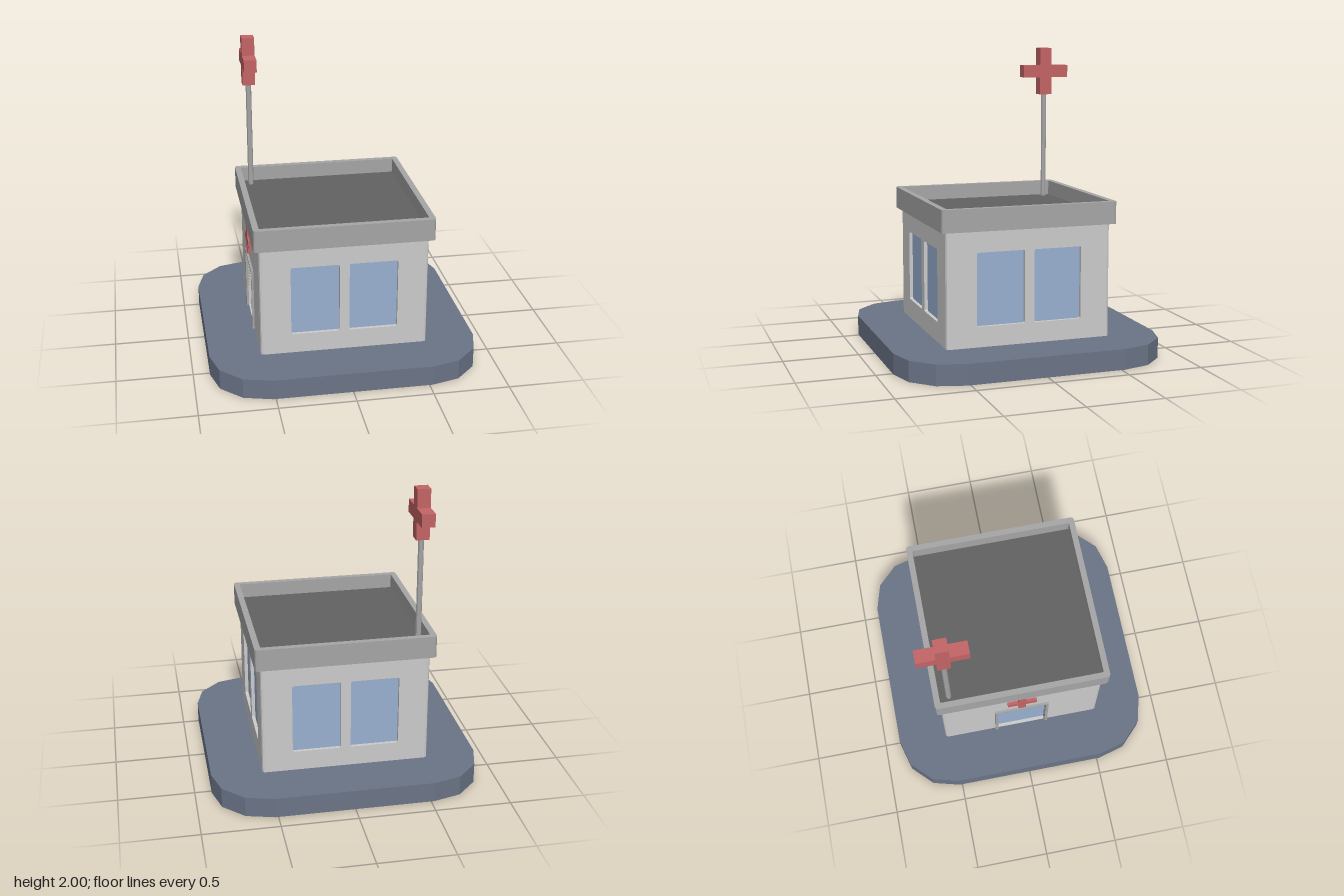
import * as THREE from 'three';

const paint = (color) => new THREE.MeshStandardMaterial({ color, flatShading: true });
const WALL = paint(0xcccccc), TRIM = paint(0xa6a6a6), ROOF = paint(0x626262);
const BASE = paint(0x6b7487), GLASS = paint(0x98b0d0), RED = paint(0xc46466);

function add(parent, name, geometry, material, x = 0, y = 0, z = 0) {
  const mesh = new THREE.Mesh(geometry, material);
  mesh.name = name;
  mesh.position.set(x, y, z);
  parent.add(mesh);
  return mesh;
}

// Corner points of a rectangle with rounded corners, n segments per corner
function outline(w, h, r, n = 2, cx = 0, cy = 0) {
  const points = [];
  for (let c = 0; c < 4; c++) {
    const sx = c === 0 || c === 3 ? 1 : -1, sy = c < 2 ? 1 : -1;
    for (let i = 0; i <= n; i++) {
      const a = (c + i / n) * Math.PI / 2;
      points.push(new THREE.Vector2(
        cx + sx * (w / 2 - r) + r * Math.cos(a),
        cy + sy * (h / 2 - r) + r * Math.sin(a)));
    }
  }
  return points;
}

function extrude(points, depth, holes = []) {
  const shape = new THREE.Shape(points);
  shape.holes = holes.map((h) => new THREE.Path(h));
  return new THREE.ExtrudeGeometry(shape, { depth, bevelEnabled: false });
}

// Horizontal slab rising from y = 0
const slab = (points, height, holes) => extrude(points, height, holes).rotateX(-Math.PI / 2);

// Plus-shaped solid facing +z, centred on its own origin
function plus(length, arm, depth) {
  const l = length / 2, a = arm / 2;
  const points = [];
  for (let i = 0; i < 4; i++) {
    for (const [x, y] of [[l, -a], [l, a], [a, a]]) {
      points.push(new THREE.Vector2(x, y).rotateAround(new THREE.Vector2(), i * Math.PI / 2));
    }
  }
  return extrude(points, depth).translate(0, 0, -depth / 2);
}

const FLOOR = 0.135, WALL_TOP = 0.89, HALF = 0.555, INNER = 0.53, CORNER = 0.02;

// One wall facing +z, with panes set back in its openings [x, y, width, height, radius]
function wall(name, openings, paneName) {
  const group = new THREE.Group();
  group.name = name;
  const h = WALL_TOP - FLOOR;
  const holes = openings.map(([x, y, w, k, r]) => outline(w, k, r, 2, x, y));
  const panel = extrude(outline(2 * (HALF - CORNER), h, 0.001, 1, 0, FLOOR + h / 2), HALF - INNER, holes);
  add(group, 'wallPanel', panel, WALL, 0, 0, INNER);
  for (const [x, y, w, k] of openings) {
    add(group, paneName, new THREE.BoxGeometry(w + 0.02, k + 0.01, 0.02), GLASS, x, y, INNER - 0.008);
  }
  return group;
}

export function createModel() {
  const model = new THREE.Group();
  model.name = 'smallClinic';

  // Ground slab
  add(model, 'base', slab(outline(1.78, 1.78, 0.37, 3), FLOOR), BASE);

  // Three walls with a pair of windows each
  const windows = [-1, 1].map((s) => [s * 0.1925, 0.507, 0.32, 0.477, 0.01]);
  ['frontWall', 'leftWall', 'backWall'].forEach((name, i) => {
    const side = wall(name, windows, 'windowPane');
    side.rotation.y = i * Math.PI / 2;
    model.add(side);
  });

  // Entrance wall with door, frame and sign
  const entrance = wall('entranceWall', [[0, 0.347, 0.34, 0.42, 0.001]], 'doorPane');
  entrance.rotation.y = -Math.PI / 2;
  for (const s of [-1, 1]) {
    add(entrance, 'doorPost', new THREE.BoxGeometry(0.02, 0.436, 0.04), TRIM, s * 0.18, 0.353, 0.55);
  }
  add(entrance, 'doorLintel', new THREE.BoxGeometry(0.34, 0.016, 0.04), TRIM, 0, 0.563, 0.55);
  add(entrance, 'entranceSign', plus(0.2, 0.052, 0.03), RED, 0, 0.722, 0.56);
  model.add(entrance);

  // Rounded wall corners
  const post = new THREE.CylinderGeometry(CORNER, CORNER, WALL_TOP - FLOOR, 8);
  for (const x of [-1, 1]) for (const z of [-1, 1]) {
    add(model, 'wallCorner', post, WALL, x * (HALF - CORNER), (WALL_TOP + FLOOR) / 2, z * (HALF - CORNER));
  }

  // Roof with raised rim
  add(model, 'roof', slab(outline(1.11, 1.11, CORNER), 0.045), ROOF, 0, 0.887);
  add(model, 'parapet', slab(outline(1.18, 1.18, 0.02), 0.147, [outline(1.1, 1.1, 0.004, 1)]), TRIM, 0, 0.885);

  // Mast with a large plus sign
  add(model, 'mast', new THREE.CylinderGeometry(0.019, 0.019, 0.76, 8), TRIM, -0.487, 1.3, -0.487);
  add(model, 'mastSign', plus(0.33, 0.086, 0.086), RED, -0.487, 1.835, -0.487).rotation.y = Math.PI / 2;

  return model;
}
